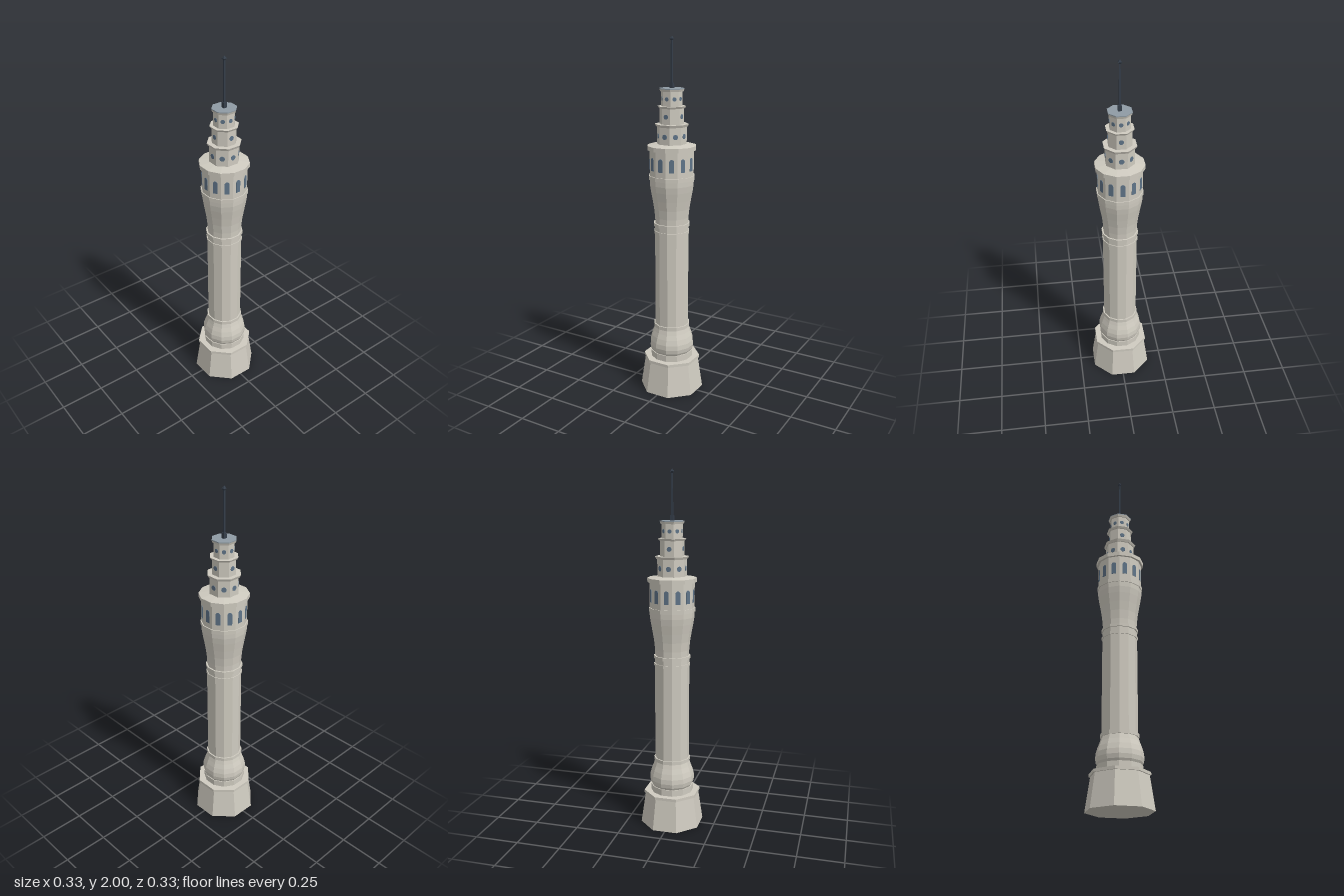
import * as THREE from 'three';

const material = (name, color) => {
  const m = new THREE.MeshStandardMaterial({ color });
  m.name = name;
  return m;
};

export function createModel() {
  const stone = material('pale stone', 0xcfcbc0);
  const glass = material('window glass', 0x5f7488);
  const slate = material('blue grey roof', 0x8f9ba4);
  const iron = material('dark iron', 0x343d49);

  const tower = new THREE.Group();
  tower.name = 'tower';

  const add = (parent, name, geometry, mat) => {
    const mesh = new THREE.Mesh(geometry, mat);
    mesh.name = name;
    parent.add(mesh);
    return mesh;
  };
  const faceted = (geometry) => {
    const g = geometry.toNonIndexed();
    g.computeVertexNormals();
    return g;
  };

  // Prism with flat sides facing the axes; radii are measured to the flats
  const prism = (name, sides, y0, y1, r0, r1 = r0, mat = stone, parent = tower) => {
    const k = 1 / Math.cos(Math.PI / sides);
    const g = new THREE.CylinderGeometry(r1 * k, r0 * k, y1 - y0, sides, 1, false, Math.PI / sides);
    g.translate(0, (y0 + y1) / 2, 0);
    return add(parent, name, faceted(g), mat);
  };

  // Faceted turned body from a profile of [radius to flat, height]
  const turned = (name, sides, profile) => {
    const k = 1 / Math.cos(Math.PI / sides);
    const points = profile.map(([r, y]) => new THREE.Vector2(r * k, y));
    return add(tower, name, faceted(new THREE.LatheGeometry(points, sides, Math.PI / sides)), stone);
  };

  // Thin panes set around the flats of a storey
  const panes = (name, shape, count, radius, y) => {
    const group = new THREE.Group();
    group.name = name;
    for (let i = 0; i < count; i++) {
      const a = (i / count) * Math.PI * 2;
      const g = new THREE.ExtrudeGeometry(shape, { depth: 0.004, bevelEnabled: false, curveSegments: 8 });
      const pane = add(group, 'windowPane', g, glass);
      pane.position.set(Math.sin(a) * (radius - 0.002), y, Math.cos(a) * (radius - 0.002));
      pane.rotation.y = a;
    }
    tower.add(group);
  };

  // Octagonal plinth
  prism('plinth', 8, 0, 0.18, 0.167, 0.142);
  prism('plinthLedge', 8, 0.18, 0.196, 0.149);

  // Bulbous foot, straight shaft and flared head
  prism('footRing', 12, 0.196, 0.232, 0.117);
  turned('bulbousFoot', 12, [
    [0.112, 0.232], [0.119, 0.245], [0.123, 0.268], [0.121, 0.295],
    [0.113, 0.325], [0.103, 0.352], [0.095, 0.378],
  ]);
  prism('lowerShaftRing', 12, 0.378, 0.398, 0.1);
  prism('shaft', 12, 0.398, 0.985, 0.093);
  prism('upperShaftRing', 12, 0.937, 0.953, 0.097);
  prism('neckRing', 12, 0.98, 0.997, 0.099);
  turned('flaredHead', 12, [
    [0.091, 0.997], [0.092, 1.03], [0.097, 1.08], [0.105, 1.13],
    [0.114, 1.18], [0.119, 1.215], [0.12, 1.243],
  ]);

  // Gallery storey with arched windows
  prism('gallerySill', 12, 1.243, 1.265, 0.124);
  prism('gallery', 12, 1.265, 1.405, 0.119);
  prism('galleryCornice', 12, 1.405, 1.428, 0.131);
  prism('galleryRoof', 12, 1.428, 1.437, 0.131, 0.075);
  const arch = new THREE.Shape();
  arch.moveTo(-0.013, -0.036);
  arch.lineTo(0.013, -0.036);
  arch.lineTo(0.013, 0.023);
  arch.absarc(0, 0.023, 0.013, 0, Math.PI, false);
  arch.closePath();
  panes('galleryWindows', arch, 12, 0.119, 1.332);

  // Three stepped octagonal tiers with round windows
  const tiers = [
    { y0: 1.43, y1: 1.53, top: 1.544, r: 0.075, cornice: 0.086, windowY: 1.48, size: 0.014, count: 8 },
    { y0: 1.544, y1: 1.628, top: 1.639, r: 0.061, cornice: 0.072, windowY: 1.585, size: 0.013, count: 4 },
    { y0: 1.639, y1: 1.716, top: 1.728, r: 0.053, cornice: 0.062, windowY: 1.678, size: 0.011, count: 8 },
  ];
  for (const t of tiers) {
    prism('tierWall', 8, t.y0, t.y1, t.r);
    prism('tierCornice', 8, t.y1, t.top, t.r + 0.005, t.cornice);
    const round = new THREE.Shape();
    round.absarc(0, 0, t.size, 0, Math.PI * 2, false);
    panes('roundWindows', round, t.count, t.r, t.windowY);
  }
  prism('topRoof', 8, 1.728, 1.733, 0.062, 0.062, slate);

  // Mast with square foot and pointed finial
  const mast = new THREE.Group();
  mast.name = 'mast';
  tower.add(mast);
  prism('mastFoot', 4, 1.733, 1.762, 0.01, 0.009, iron, mast);
  prism('mastRod', 4, 1.762, 1.985, 0.005, 0.004, iron, mast);
  prism('finialLower', 4, 1.978, 1.987, 0.004, 0.009, iron, mast);
  prism('finialUpper', 4, 1.987, 2.0, 0.009, 0.0005, iron, mast);

  return tower;
}
